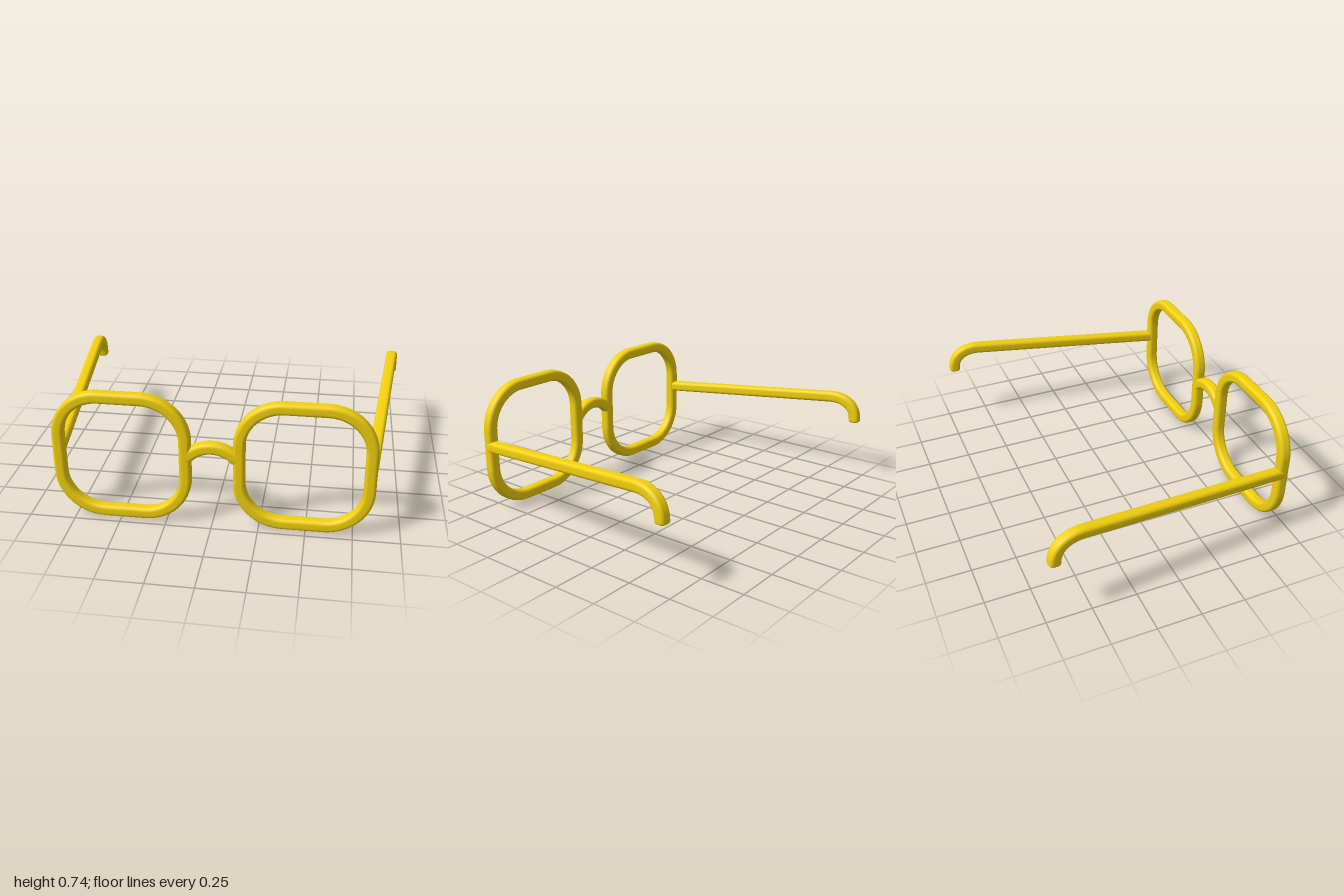
import * as THREE from 'three';

const material = new THREE.MeshStandardMaterial({ color: 0xf2d00d });
const HALF = 0.032; // half thickness of the wire
const ROUND = 0.02; // corner radius of its square section

// Points along an arc in the xy plane
function arc(cx, cy, r, from, to, steps) {
  return Array.from({ length: steps + 1 }, (_, i) => {
    const a = from + ((to - from) * i) / steps;
    return new THREE.Vector2(cx + r * Math.cos(a), cy + r * Math.sin(a));
  });
}

// Rounded square, counterclockwise
function roundedSquare(half, r, steps) {
  const c = half - r, q = Math.PI / 2;
  return [[c, c], [-c, c], [-c, -c], [c, -c]].flatMap(([x, y], k) => arc(x, y, r, k * q, (k + 1) * q, steps));
}

// Sweep the section along a flat path; open paths get softly rounded ends
function sweep(path, closed) {
  const section = roundedSquare(HALF, ROUND, 5);
  const n = path.length, m = section.length;
  const positions = [], index = [];
  let rings = 0;
  const addRing = (p, t, scale, shift) => {
    for (const s of section) {
      positions.push(p.x + t.x * shift - t.y * s.x * scale, p.y + t.y * shift + t.x * s.x * scale, s.y * scale);
    }
    rings++;
  };
  const endRings = [[0, 0.012], [0.6, 0.012], [0.87, 0.008], [0.96, 0.004]];
  path.forEach((p, i) => {
    const prev = closed ? path[(i + n - 1) % n] : path[Math.max(i - 1, 0)];
    const next = closed ? path[(i + 1) % n] : path[Math.min(i + 1, n - 1)];
    const t = next.clone().sub(prev).normalize();
    if (!closed && i === 0) endRings.forEach(([s, d]) => addRing(p, t, s, -d));
    addRing(p, t, 1, 0);
    if (!closed && i === n - 1) [...endRings].reverse().forEach(([s, d]) => addRing(p, t, s, d));
  });
  for (let i = 0; i < (closed ? rings : rings - 1); i++) {
    for (let j = 0; j < m; j++) {
      const i2 = ((i + 1) % rings) * m, j2 = (j + 1) % m;
      const a = i * m + j, b = i * m + j2, c = i2 + j, d = i2 + j2;
      index.push(a, b, c, b, d, c);
    }
  }
  const geometry = new THREE.BufferGeometry();
  geometry.setAttribute('position', new THREE.Float32BufferAttribute(positions, 3));
  geometry.setIndex(index);
  geometry.computeVertexNormals();
  return geometry;
}

export function createModel() {
  const model = new THREE.Group();
  model.name = 'glasses';
  const add = (name, geometry, x, y, z, turn = 0) => {
    const mesh = new THREE.Mesh(geometry, material);
    mesh.name = name;
    mesh.position.set(x, y, z);
    mesh.rotation.y = turn;
    model.add(mesh);
  };

  // Arched bridge between the rims
  add('bridge', sweep(arc(0, 0.288, 0.17, Math.PI / 2 + 0.85, Math.PI / 2 - 0.85, 24), false), 0, 0, 0.682);

  // Temple arm: straight rise, then a hook curving down behind the ear
  const hook = new THREE.CubicBezierCurve(
    new THREE.Vector2(1.2, 0.499), new THREE.Vector2(1.30, 0.508),
    new THREE.Vector2(1.37, 0.46), new THREE.Vector2(1.37, 0.367));
  const arm = sweep([new THREE.Vector2(0, 0.394), ...hook.getPoints(24)], false);

  const rim = sweep(roundedSquare(0.34, 0.23, 16), true);
  const splay = 0.104;
  for (const [side, s] of [['left', 1], ['right', -1]]) {
    add(side + 'Rim', rim, s * 0.483, 0.372, 0.682);
    add(side + 'Temple', arm, s * 0.825, 0, 0.68, Math.PI / 2 - s * splay);
  }
  return model;
}
